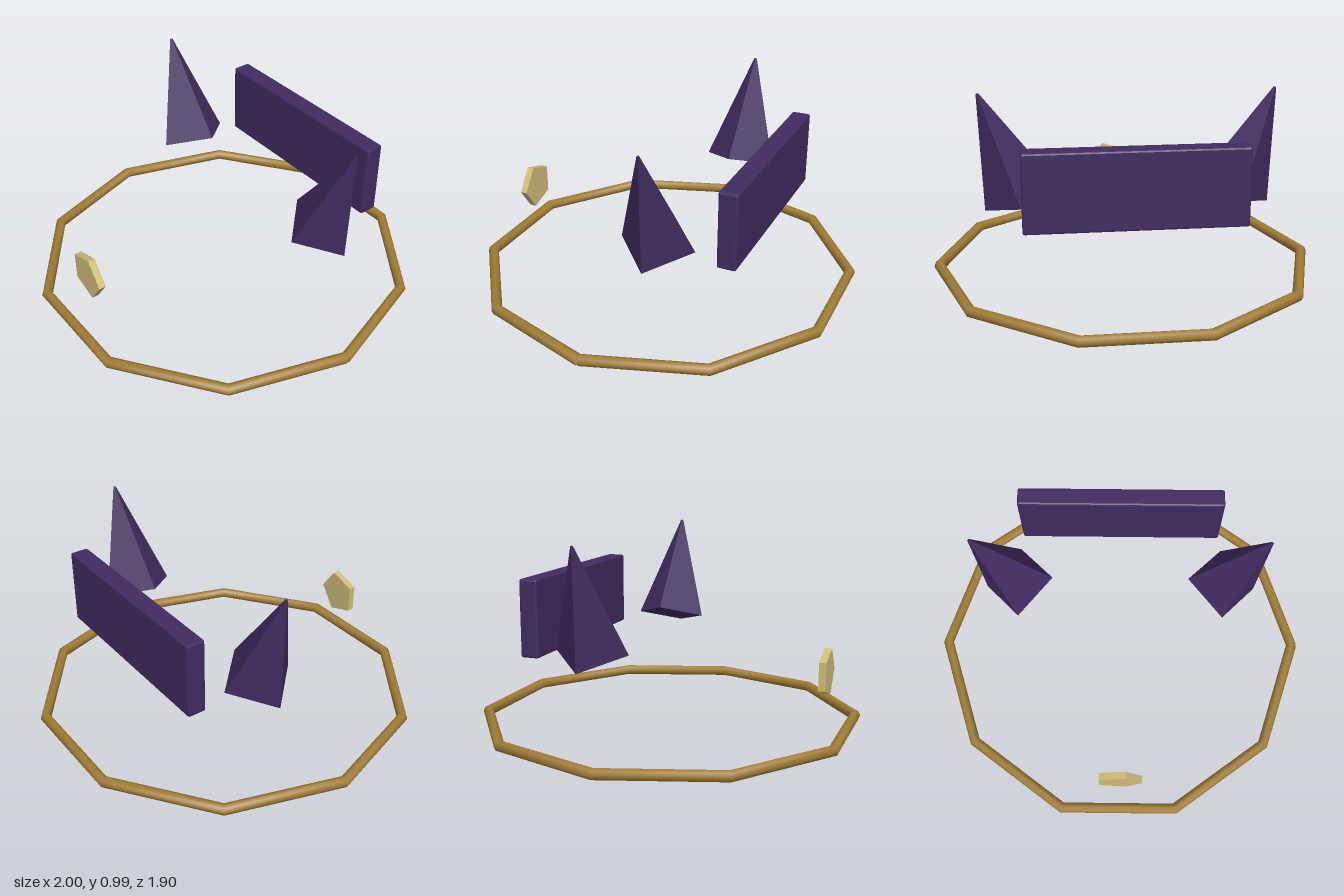
import * as THREE from 'three';
import { RoundedBoxGeometry } from 'three/addons/geometries/RoundedBoxGeometry.js';

function material(name, color, options = {}) {
  const m = new THREE.MeshStandardMaterial({ color, ...options });
  m.name = name;
  return m;
}

// Ten-sided ring whose two ends are cut square, leaving a small notch at +x
function ringGeometry(radius, tube, sides) {
  const radial = 8;
  const geo = new THREE.TorusGeometry(radius, tube, radial, sides);
  const pos = geo.attributes.position;
  const turn = Math.PI / sides;
  for (let j = 0; j <= radial; j++) {
    for (const [i, sign] of [[0, 1], [sides, -1]]) {
      const k = j * (sides + 1) + i;
      const d = pos.getX(k) - radius;
      pos.setXY(k, radius + d * Math.cos(turn), sign * d * Math.sin(turn));
    }
  }
  return geo.rotateX(Math.PI / 2);
}

export function createModel() {
  const group = new THREE.Group();
  const purple = material('deepPurple', 0x402b5f);
  const purpleFlat = purple;
  purpleFlat.flatShading = true;
  const gold = material('oldGold', 0xa07c35, { side: THREE.DoubleSide });
  const paleGold = material('paleGold', 0xcfbc78, { flatShading: true });

  const add = (name, geometry, mat, x, y, z) => {
    const mesh = new THREE.Mesh(geometry, mat);
    mesh.name = name;
    mesh.position.set(x, y, z);
    group.add(mesh);
    return mesh;
  };

  // Ring on the ground
  add('groundRing', ringGeometry(0.972, 0.028, 10), gold, 0, 0.028, 0);

  // Upright panel at the back
  add('backPanel', new RoundedBoxGeometry(1.064, 0.39, 0.096, 1, 0.01), purple, 0, 0.595, -0.537);

  // Four-sided spikes leaning outwards
  for (const side of [-1, 1]) {
    const spike = add(side > 0 ? 'leftSpike' : 'rightSpike',
      new THREE.CylinderGeometry(0.007, 0.19, 0.56, 4), purpleFlat, side * 0.631, 0.722, -0.197);
    spike.rotation.z = -side * 0.35;
  }

  // Five-sided medallion at the front, one corner towards +x
  const medallion = new THREE.CylinderGeometry(0.122, 0.122, 0.036, 5);
  medallion.rotateY(Math.PI / 2).rotateX(Math.PI / 2);
  add('medallion', medallion, paleGold, 0, 0.322, 0.822);

  return group;
}
